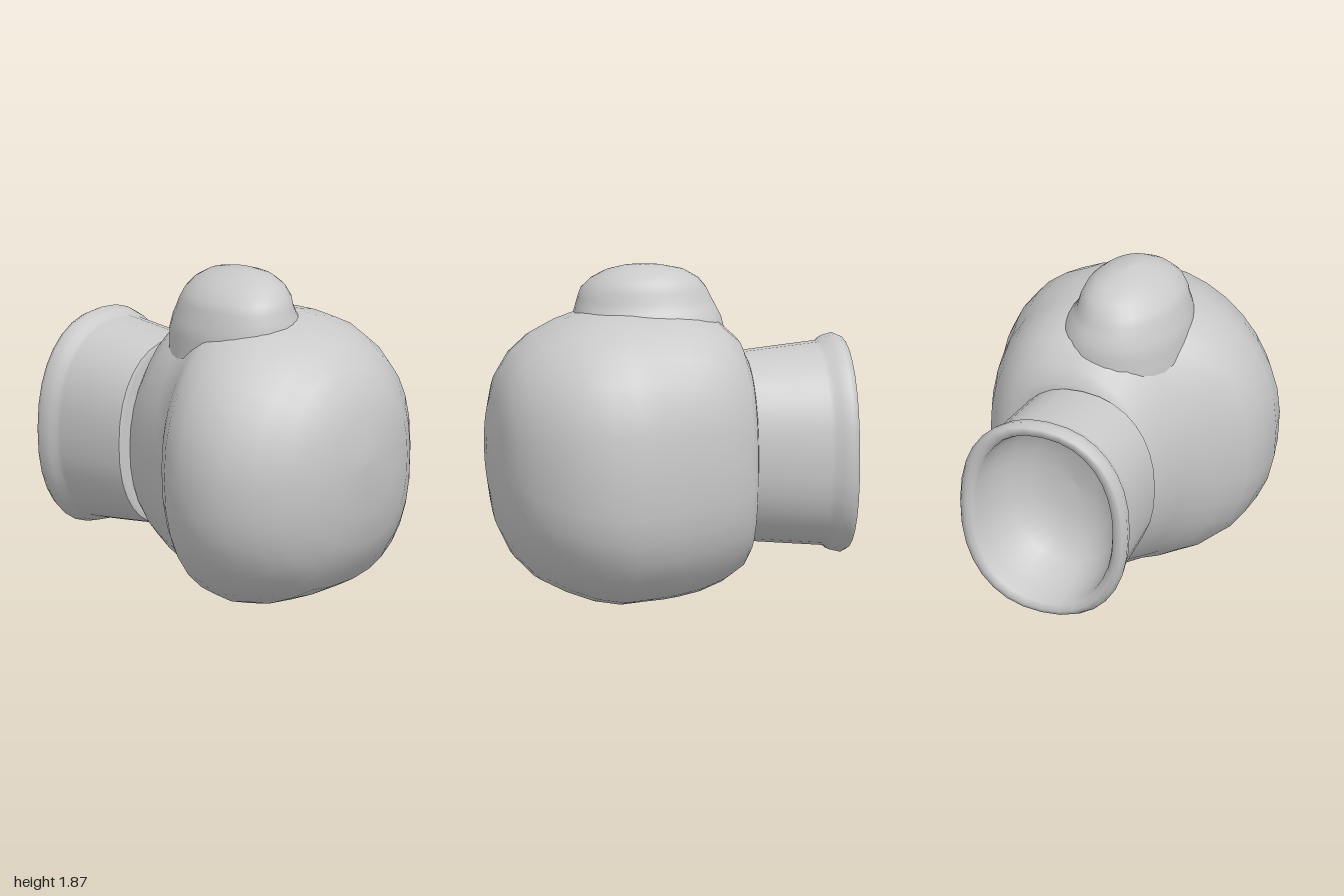
import * as THREE from 'three';

// Point on a unit superellipse; n = 2 is round, larger is boxier.
function superPoint(a, n) {
  const c = Math.cos(a), s = Math.sin(a);
  return [Math.sign(c) * Math.abs(c) ** (2 / n), Math.sign(s) * Math.abs(s) ** (2 / n)];
}

// Skin over rings stacked along z, each [z, xMin, xMax, yMin, yMax, nTop, nBottom].
// nDrop makes the -x half rounder than the +x half.
function loft(rings, nDrop = 0, segments = 32) {
  const pos = [], index = [];
  rings.forEach(([z, x0, x1, y0, y1, nTop, nBottom = nTop], i) => {
    for (let j = 0; j < segments; j++) {
      const angle = (j / segments) * Math.PI * 2;
      const n = (j < segments / 2 ? nTop : nBottom) - (Math.cos(angle) < 0 ? nDrop : 0);
      const [u, v] = superPoint(angle, n);
      pos.push((x0 + x1) / 2 + (u * (x1 - x0)) / 2, (y0 + y1) / 2 + (v * (y1 - y0)) / 2, z);
      if (i === 0) continue;
      const k = (j + 1) % segments;
      const a = (i - 1) * segments + j, b = (i - 1) * segments + k;
      const c = i * segments + k, d = i * segments + j;
      index.push(a, b, c, a, c, d);
    }
  });
  const geo = new THREE.BufferGeometry();
  geo.setAttribute('position', new THREE.Float32BufferAttribute(pos, 3));
  geo.setIndex(index);
  geo.computeVertexNormals();
  return geo;
}

export function createModel() {
  const group = new THREE.Group();
  const grey = new THREE.MeshStandardMaterial({ color: 0xcacaca });
  grey.name = 'soft grey';
  const add = (name, geo) => {
    const mesh = new THREE.Mesh(geo, grey);
    mesh.name = name;
    group.add(mesh);
  };

  // Padded fist, hollowed on the -x side towards the wrist
  add('fist', loft([
    [-0.43, 0.05, 0.05, 0.8, 0.8, 2.4],
    [-0.43, -0.34, 0.45, 0.27, 1.33, 2.4],
    [-0.42, -0.37, 0.49, 0.24, 1.37, 2.4],
    [-0.38, -0.39, 0.55, 0.18, 1.46, 2.4],
    [-0.27, -0.44, 0.62, 0.11, 1.56, 2.4],
    [-0.14, -0.49, 0.67, 0.06, 1.6, 2.4],
    [-0.02, -0.55, 0.7, 0.035, 1.62, 2.4, 2.5],
    [0.06, -0.64, 0.72, 0.02, 1.63, 2.4, 2.55],
    [0.17, -0.74, 0.755, 0.01, 1.635, 2.45, 2.6],
    [0.3, -0.775, 0.78, 0, 1.635, 2.45, 2.65],
    [0.45, -0.785, 0.78, 0.025, 1.62, 2.45, 2.65],
    [0.6, -0.74, 0.74, 0.08, 1.575, 2.35, 2.65],
    [0.74, -0.65, 0.655, 0.15, 1.51, 2.3, 2.6],
    [0.85, -0.53, 0.53, 0.26, 1.42, 2.3, 2.55],
    [0.93, -0.39, 0.42, 0.41, 1.31, 2.3, 2.45],
    [0.975, -0.23, 0.27, 0.6, 1.16, 2.3],
    [0.995, -0.08, 0.1, 0.8, 0.98, 2.3],
    [1, 0.01, 0.01, 0.9, 0.9, 2.3],
  ], 0.35));

  // Thumb pad on top: dome with a flared foot sunk into the fist.
  // Each ring is [y, xMin, xMax, zBack, zFront].
  const thumb = loft([
    [1.3, -0.39, 0.28, -0.33, 0.46],
    [1.5, -0.39, 0.28, -0.33, 0.5],
    [1.58, -0.375, 0.265, -0.31, 0.5],
    [1.63, -0.355, 0.225, -0.285, 0.485],
    [1.68, -0.345, 0.2, -0.26, 0.47],
    [1.73, -0.32, 0.19, -0.235, 0.455],
    [1.785, -0.265, 0.165, -0.19, 0.405],
    [1.83, -0.195, 0.115, -0.115, 0.33],
    [1.857, -0.11, 0.04, 0, 0.24],
    [1.865, -0.035, -0.035, 0.13, 0.13],
  ].map(([y, x0, x1, z0, z1]) => [y, x0, x1, -z1, -z0, 2.1]));
  thumb.rotateX(-Math.PI / 2);
  // Lean the pad slightly across the fist
  const p = thumb.attributes.position;
  for (let i = 0; i < p.count; i++) p.setX(i, p.getX(i) - 0.08 * (p.getZ(i) - 0.1));
  thumb.computeVertexNormals();
  add('thumbPad', thumb);

  // Cuff: from the bowl-shaped hollow out over the rolled rim and along the sleeve
  const cuffRing = ([z, rx, ry]) => [z, -0.005 - rx, -0.005 + rx, 0.835 - ry, 0.835 + ry, 2.25];
  add('cuff', loft([
    [-0.54, 0, 0],
    [-0.55, 0.14, 0.18],
    [-0.59, 0.25, 0.325],
    [-0.67, 0.335, 0.435],
    [-0.79, 0.387, 0.495],
    [-0.9, 0.407, 0.518],
    [-0.96, 0.413, 0.523],
    [-0.985, 0.425, 0.535],
    [-1, 0.455, 0.565],
    [-0.995, 0.487, 0.588],
    [-0.96, 0.505, 0.605],
    [-0.9, 0.49, 0.59],
    [-0.87, 0.473, 0.565],
    [-0.84, 0.47, 0.562],
    [-0.65, 0.455, 0.545],
    [-0.435, 0.437, 0.525],
  ].map(cuffRing)));
  // Flat end closing the cuff against the fist
  add('cuffEnd', loft([
    [-0.435, 0.437, 0.525],
    [-0.425, 0.41, 0.49],
    [-0.425, 0, 0],
  ].map(cuffRing)));

  return group;
}
